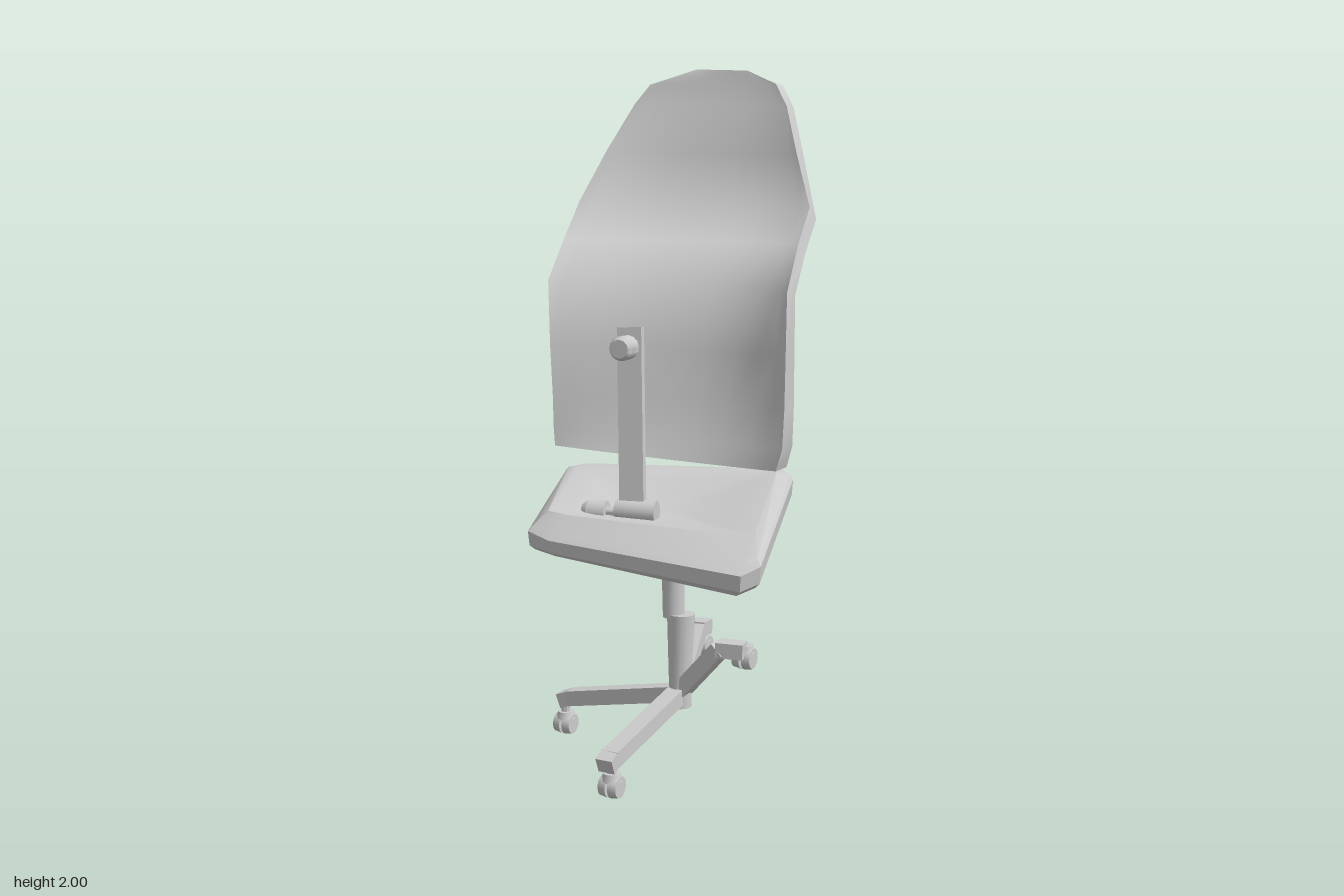
import * as THREE from 'three';
import { toCreasedNormals } from 'three/addons/utils/BufferGeometryUtils.js';

const V = (x, y, z) => new THREE.Vector3(x, y, z);

export function createModel() {
  const model = new THREE.Group();
  const material = new THREE.MeshStandardMaterial({ color: 0xcccccc, side: THREE.DoubleSide });

  function add(name, geometry, parent = model) {
    const mesh = new THREE.Mesh(geometry, material);
    mesh.name = name;
    parent.add(mesh);
    return mesh;
  }

  // Closed skin over stacked rings (counterclockwise from above), fan caps at both ends
  function loft(rings, bottom, top, crease) {
    const n = rings[0].length;
    const points = [...rings.flat(), bottom, top];
    const index = [];
    const last = (rings.length - 1) * n;
    for (let i = 0; i < n; i++) {
      const j = (i + 1) % n;
      for (let r = 0; r < last; r += n) index.push(r + i, r + j, r + n + j, r + i, r + n + j, r + n + i);
      index.push(last + n, j, i, last + n + 1, last + i, last + j);
    }
    const g = new THREE.BufferGeometry().setFromPoints(points);
    g.setIndex(index);
    return toCreasedNormals(g, crease);
  }
  const centre = ring => ring.reduce((s, p) => s.add(p), V(0, 0, 0)).divideScalar(ring.length);

  // Round rod and square beam between two points
  function rod(name, a, b, r0, r1 = r0, parent = model, sides = 14) {
    const d = b.clone().sub(a);
    const g = new THREE.CylinderGeometry(r1, r0, d.length(), sides);
    const mesh = add(name, toCreasedNormals(g, 0.7), parent);
    mesh.position.copy(a).addScaledVector(d, 0.5);
    mesh.quaternion.setFromUnitVectors(V(0, 1, 0), d.normalize());
  }
  function beam(name, a, b, w, h, parent = model, up = V(0, 1, 0)) {
    const mesh = add(name, new THREE.BoxGeometry(w, h, a.distanceTo(b)), parent);
    mesh.position.copy(a).add(b).multiplyScalar(0.5);
    mesh.up.copy(up);
    mesh.lookAt(b);
  }

  // Backrest: left edge (y, x, z), right edge (y, x, z), dish depth, rear drop, rear offset
  const rows = [
    [0.94, -0.275, 0.185, 0.905, 0.36, 0.1, -0.01, 0, 0.075],
    [0.99, -0.285, 0.175, 0.965, 0.38, 0.105, 0.015, 0, 0.07],
    [1.08, -0.29, 0.17, 1.07, 0.383, 0.1, 0.045, 0, 0.065],
    [1.22, -0.3, 0.165, 1.21, 0.383, 0.095, 0.08, 0, 0.06],
    [1.4, -0.31, 0.155, 1.38, 0.383, 0.09, 0.13, -0.01, 0.055],
    [1.51, -0.322, 0.05, 1.5, 0.328, -0.115, 0.12, -0.03, 0.05],
    [1.62, -0.333, -0.06, 1.6, 0.28, -0.315, 0.085, -0.035, 0.05],
    [1.76, -0.285, -0.13, 1.75, 0.228, -0.34, 0.045, 0, 0.05],
    [1.9, -0.232, -0.21, 1.89, 0.182, -0.37, 0.025, 0, 0.05],
    [1.955, -0.195, -0.235, 1.955, 0.145, -0.375, 0.02, 0, 0.05],
    [2.0, -0.08, -0.31, 1.995, 0.06, -0.36, 0, -0.01, 0.05],
  ];
  const steps = [0, 0.05, 0.14, 0.26, 0.38, 0.5, 0.62, 0.74, 0.86, 0.95, 1];
  const backRings = rows.map(([yl, xl, zl, yr, xr, zr, dish, drop, rear]) => {
    const left = V(xl, yl, zl), right = V(xr, yr, zr);
    const front = steps.map(t => {
      const p = left.clone().lerp(right, t);
      p.z -= dish * (1 - Math.abs(2 * t - 1) ** 2.5);
      return p;
    });
    const back = front.map(p => V(p.x, p.y + drop, p.z - rear)).reverse();
    return [...front, ...back];
  });
  add('backrest', loft(backRings, centre(backRings[0]), centre(backRings.at(-1)), 1.1));

  // Seat: chamfered outline (x, z) with underside and rim heights, and the crest inside it (x, z, y)
  const outline = [
    [-0.23, 0.4, 0.69, 0.755, -0.19, 0.36, 0.795], [-0.15, 0.425, 0.685, 0.74, -0.14, 0.355, 0.787],
    [0.39, 0.385, 0.63, 0.7, 0.345, 0.28, 0.763], [0.425, 0.34, 0.645, 0.72, 0.37, 0.25, 0.773],
    [0.27, -0.24, 0.76, 0.835, 0.235, -0.2, 0.845], [0.22, -0.29, 0.775, 0.84, 0.19, -0.235, 0.845],
    [-0.375, -0.155, 0.765, 0.83, -0.33, -0.115, 0.835], [-0.415, -0.1, 0.755, 0.825, -0.36, -0.07, 0.83],
  ];
  const seatMiddle = V(0.02, 0.768, 0.09);
  const rimRing = (scale, level) => outline.map(([x, z, low, rim]) =>
    V(0.01 + (x - 0.01) * scale, low + (rim - low) * level, 0.06 + (z - 0.06) * scale));
  const topRing = (inward, sink) => outline.map(([, , , , x, z, y]) => {
    const p = V(x, y, z).lerp(seatMiddle, inward);
    p.y -= sink;
    return p;
  });
  const seatRings = [rimRing(0.95, 0), rimRing(0.99, 0.2), rimRing(1, 0.8), rimRing(0.97, 1),
    topRing(0, 0), topRing(0.25, 0.004), topRing(0.6, 0.005)];
  add('seat', loft(seatRings, centre(seatRings[0]), seatMiddle, 0.55));

  // Back support bar with its clamp and two knobs
  beam('backSupportBar', V(-0.005, 0.78, 0.225), V(-0.035, 1.28, 0.18), 0.068, 0.028, model, V(0.22, 0, 1));
  rod('barClamp', V(-0.05, 0.785, 0.235), V(0.06, 0.785, 0.21), 0.033);
  function knob(name, from, to) {
    const group = new THREE.Group();
    group.name = name;
    model.add(group);
    const at = t => from.clone().lerp(to, t);
    rod('knobNeck', at(0), at(0.4), 0.016, 0.016, group);
    rod('knobGrip', at(0.35), at(0.85), 0.033, 0.033, group);
    rod('knobEnd', at(0.85), at(1), 0.033, 0.025, group);
  }
  knob('clampKnob', V(-0.04, 0.78, 0.235), V(-0.142, 0.775, 0.255));
  knob('heightKnob', V(-0.028, 1.23, 0.185), V(-0.015, 1.23, 0.28));

  // Column under the seat
  const mount = add('seatMount', new THREE.BoxGeometry(0.09, 0.045, 0.13));
  mount.position.set(-0.02, 0.673, -0.045);
  beam('mountBracket', V(-0.02, 0.69, -0.04), V(-0.06, 0.695, 0.07), 0.07, 0.012);
  rod('gasSpring', V(-0.022, 0.42, -0.05), V(-0.024, 0.66, -0.05), 0.032, 0.036);
  rod('columnSleeve', V(0, 0.16, -0.045), V(0, 0.43, -0.055), 0.03, 0.042);
  rod('hub', V(0, 0.155, -0.045), V(0, 0.21, -0.045), 0.036);

  // Four tilted legs, each with a bent tip and a caster: bend, tip end, caster centre
  const hub = V(0, 0.195, -0.045);
  const legs = [
    [V(-0.38, 0.117, -0.06), V(-0.412, 0.105, -0.06), V(-0.397, 0.034, -0.055)],
    [V(-0.02, 0.117, 0.33), V(-0.02, 0.105, 0.36), V(-0.025, 0.034, 0.315)],
    [V(0.145, 0.355, -0.02), V(0.215, 0.355, -0.03), V(0.203, 0.327, -0.055)],
    [V(-0.04, 0.33, -0.245), V(-0.045, 0.325, -0.305), V(-0.045, 0.27, -0.28)],
  ];
  for (const [bend, tip, wheel] of legs) {
    const leg = new THREE.Group();
    leg.name = 'legWithCaster';
    model.add(leg);
    beam('leg', hub, bend, 0.05, 0.046, leg);
    beam('legTip', bend.clone().lerp(tip, -0.15), tip, 0.05, 0.044, leg);
    rod('casterStem', wheel, V(wheel.x, tip.y, wheel.z), 0.014, 0.014, leg, 8);
    rod('casterHousing', V(wheel.x, wheel.y + 0.015, wheel.z), V(wheel.x, wheel.y + 0.038, wheel.z), 0.03, 0.024, leg);
    for (const s of [-1, 1]) {
      rod('casterWheel', V(wheel.x + s * 0.004, wheel.y, wheel.z),
        V(wheel.x + s * 0.028, wheel.y, wheel.z), 0.034, 0.03, leg);
    }
  }
  return model;
}
